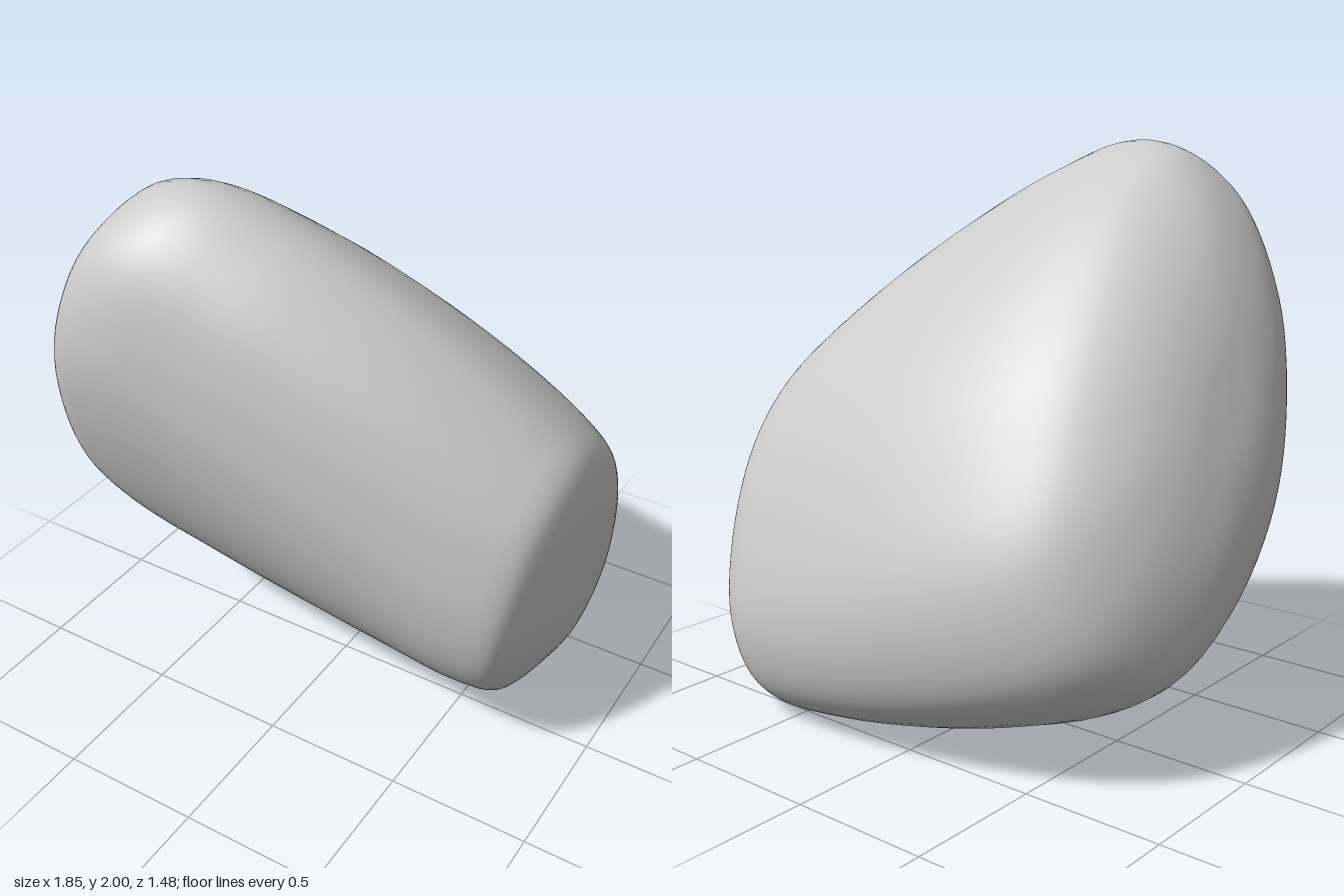
import * as THREE from 'three';
import { mergeVertices } from 'three/addons/utils/BufferGeometryUtils.js';

const AROUND = 72, ALONG = 80;

// Closed cross-section through [z, y] points, listed top, front, bottom, back
function section(points) {
  const curve = new THREE.CatmullRomCurve3(
    points.map(([z, y]) => new THREE.Vector3(0, y, z)), true, 'centripetal');
  return Array.from({ length: AROUND }, (_, j) => curve.getPoint(j / AROUND));
}

function centreOf(ring) {
  return ring.reduce((sum, p) => sum.add(p), new THREE.Vector3()).divideScalar(ring.length);
}

// Rounded end: shrunken copies of the rim, pushed outward along a dome profile
function cap(rim, push, power) {
  const c = centreOf(rim);
  return [0, 12, 30, 50, 68].map((degrees) => {
    const a = THREE.MathUtils.degToRad(degrees);
    const r = Math.pow(Math.sin(a), 2 / power);
    const out = Math.pow(Math.cos(a), 2 / 1.7);
    return rim.map((p) => c.clone().lerp(p, r).addScaledVector(push, out));
  });
}

// Blend of the two rims, swelling most towards the upper back
function bodyRing(large, small, s) {
  const ring = large.map((p, j) => p.clone().lerp(small[j], s));
  const c = centreOf(ring), belly = Math.pow(4 * s * (1 - s), 0.7);
  ring.forEach((p) => {
    const y = p.y - c.y, z = p.z - c.z;
    const back = (0.6 * y - 0.8 * z) / Math.hypot(y, z);
    const swell = 1 + belly * (0.12 + 0.07 * back);
    p.y = c.y + y * swell;
    p.z = c.z + z * swell;
  });
  return ring;
}

function stoneGeometry() {
  const large = section([
    [0.42, 1.99], [0.66, 1.84], [0.72, 1.5], [0.6, 1.07], [0.38, 0.69], [0.07, 0.41],
    [-0.25, 0.28], [-0.56, 0.42], [-0.64, 0.73], [-0.49, 1.12], [-0.25, 1.47], [0.1, 1.82]]);
  const small = section([
    [0.1, 1.25], [0.33, 1.12], [0.43, 0.8], [0.39, 0.5], [0.2, 0.26], [-0.1, 0.1],
    [-0.44, 0.0], [-0.61, 0.1], [-0.67, 0.33], [-0.58, 0.68], [-0.4, 0.98], [-0.15, 1.18]]);

  // Lean the two rims
  large.forEach((p) => { p.x = -0.895 + 0.345 * p.y - 0.2 * p.z; });
  small.forEach((p) => { p.x = 0.62 + 0.17 * p.y; });

  // Large dome, swelling body, small dome
  const stations = [
    ...cap(large, new THREE.Vector3(-0.31, 0.09, 0.03), 2.6),
    ...[0.05, 0.27, 0.5, 0.73, 0.95].map((s) => bodyRing(large, small, s)),
    ...cap(small, new THREE.Vector3(0.15, -0.025, 0), 3).reverse(),
  ];

  // Smooth lengthwise curves through the stations
  const points = [], index = [];
  for (let j = 0; j < AROUND; j++) {
    const curve = new THREE.CatmullRomCurve3(stations.map((ring) => ring[j]));
    for (let i = 0; i <= ALONG; i++) points.push(curve.getPoint(i / ALONG));
  }
  const row = ALONG + 1;
  for (let j = 0; j < AROUND; j++) {
    for (let i = 0; i < ALONG; i++) {
      const a = j * row + i, b = ((j + 1) % AROUND) * row + i;
      index.push(a, b, a + 1, b, b + 1, a + 1);
    }
  }
  const geometry = new THREE.BufferGeometry().setFromPoints(points);
  geometry.setIndex(index);
  const welded = mergeVertices(geometry, 1e-5);
  welded.computeVertexNormals();
  return welded;
}

export function createModel() {
  const group = new THREE.Group();
  const stone = new THREE.Mesh(stoneGeometry(), new THREE.MeshStandardMaterial({ color: 0xcccccc }));
  stone.name = 'roundedStone';
  group.add(stone);
  return group;
}
